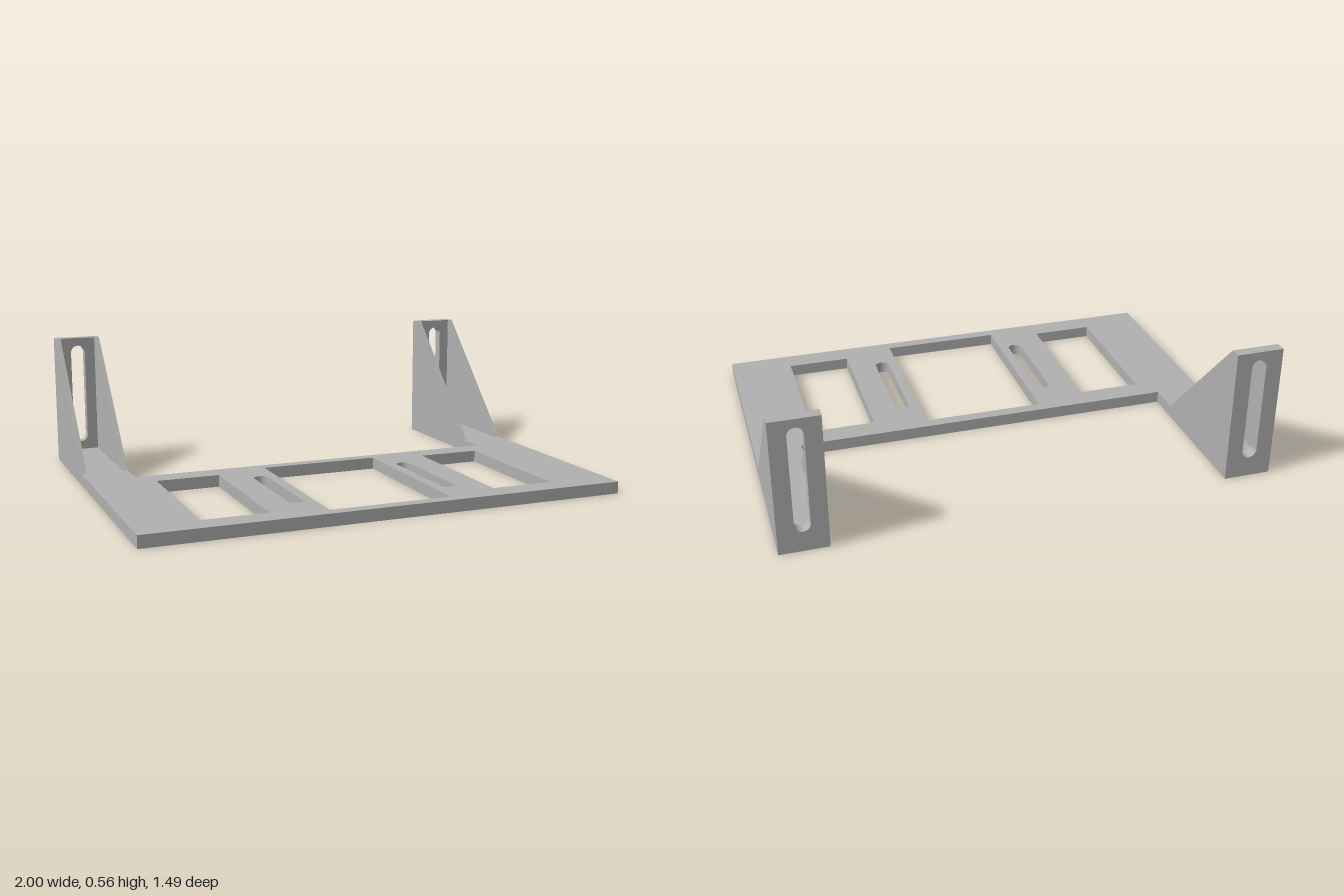
import * as THREE from 'three';

const T = 0.05;          // base thickness
const ARM = 0.805;       // inner edge of the side arms
const BACK = -0.745, FRONT = 0.745;
const WALL = 0.56;       // bracket height
const WALL_FRONT = -0.70;

function polygon(points, Type = THREE.Shape) {
  return new Type(points.map(([a, b]) => new THREE.Vector2(a, b)));
}

function rectHole(x0, x1, y0, y1) {
  return polygon([[x0, y0], [x0, y1], [x1, y1], [x1, y0]], THREE.Path);
}

// Vertical slot with round ends
function slotHole(cx, y0, y1, r) {
  const p = new THREE.Path();
  p.moveTo(cx + r, y0 + r);
  p.lineTo(cx + r, y1 - r);
  p.absarc(cx, y1 - r, r, 0, Math.PI, false);
  p.lineTo(cx - r, y0 + r);
  p.absarc(cx, y0 + r, r, Math.PI, Math.PI * 2, false);
  return p;
}

function extrude(shape, depth) {
  return new THREE.ExtrudeGeometry(shape, { depth, bevelEnabled: false, curveSegments: 16 });
}

export function createModel() {
  const grey = new THREE.MeshStandardMaterial({ color: 0xb0b0b0 });
  grey.name = 'grey';
  const model = new THREE.Group();
  model.name = 'mountingBracket';

  const add = (name, geometry, parent) => {
    const mesh = new THREE.Mesh(geometry, grey);
    mesh.name = name;
    parent.add(mesh);
  };

  // U-shaped base plate with windows and slots, drawn in x and z
  const base = polygon([
    [-1, FRONT], [-1, BACK], [-ARM, BACK], [-ARM, -0.077],
    [ARM, -0.077], [ARM, BACK], [1, BACK], [1, FRONT],
  ]);
  base.holes.push(rectHole(-0.255, 0.255, -0.028, 0.696));
  for (const s of [-1, 1]) {
    base.holes.push(rectHole(s * 0.607 - 0.133, s * 0.607 + 0.133, 0.02, 0.645));
    base.holes.push(slotHole(s * 0.327, 0.105, 0.56, 0.03));
  }
  add('basePlate', extrude(base, T).rotateX(Math.PI / 2).translate(0, T, 0), model);

  // Upright slotted wall and two sloping ribs at the end of each arm
  for (const s of [-1, 1]) {
    const bracket = new THREE.Group();
    bracket.name = s > 0 ? 'leftBracket' : 'rightBracket';
    model.add(bracket);
    const cx = s * (1 + ARM) / 2, half = (1 - ARM) / 2;

    const wall = polygon([[cx - half, T], [cx + half, T], [cx + half, WALL], [cx - half, WALL]]);
    wall.holes.push(slotHole(cx, 0.085, 0.525, 0.031));
    add('uprightWall', extrude(wall, WALL_FRONT - BACK).translate(0, 0, BACK), bracket);

    // Rib profile in (-z, y), turned so that its thickness runs along x
    const rib = polygon([[0.21, T], [-WALL_FRONT, T], [-WALL_FRONT, WALL]]);
    const t = 0.022;
    for (const x of [cx - half, cx + half - t]) {
      add('rib', extrude(rib, t).rotateY(Math.PI / 2).translate(x, 0, 0), bracket);
    }
  }
  return model;
}
